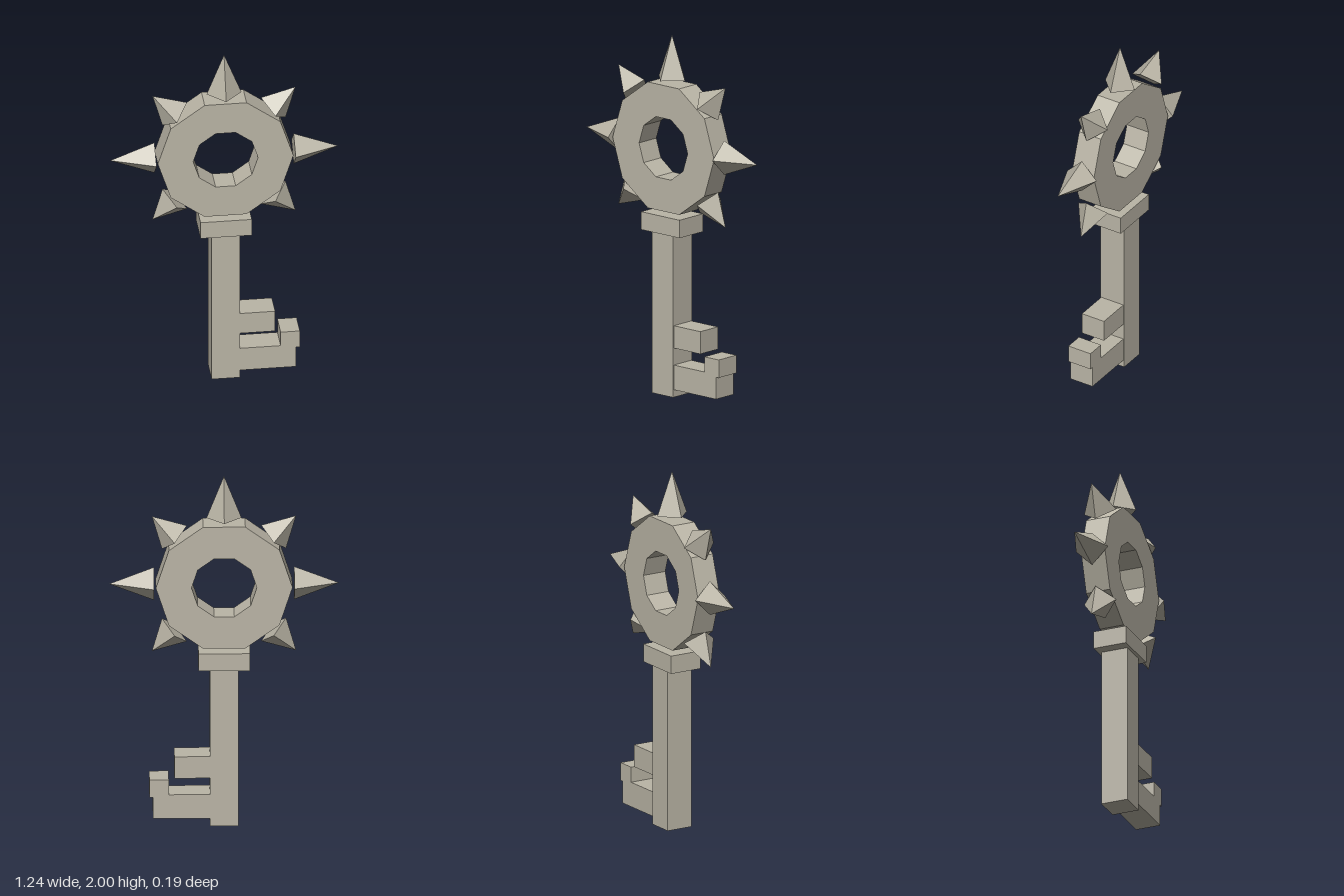
import * as THREE from 'three';

export function createModel() {
  const model = new THREE.Group();
  model.name = 'spikedKey';
  const stone = new THREE.MeshStandardMaterial({ color: 0xbab5a6 });
  stone.name = 'pale stone';

  const add = (name, geometry, parent = model) => {
    const mesh = new THREE.Mesh(geometry, stone);
    mesh.name = name;
    parent.add(mesh);
    return mesh;
  };
  // Box given by its x and y limits and its full depth
  const box = (name, x0, x1, y0, y1, depth) =>
    add(name, new THREE.BoxGeometry(x1 - x0, y1 - y0, depth))
      .position.set((x0 + x1) / 2, (y0 + y1) / 2, 0);

  // Shaft and collar
  box('shaft', -0.077, 0.077, 0, 0.91, 0.154);
  box('collar', -0.14, 0.14, 0.905, 1.005, 0.19);

  // Teeth of the bit
  box('upperTooth', 0.07, 0.27, 0.275, 0.4, 0.142);
  box('lowerTooth', 0.07, 0.385, 0.042, 0.18, 0.142);
  box('toothHook', 0.3, 0.405, 0.165, 0.265, 0.142);

  // Ten-sided ring handle
  const bow = new THREE.Group();
  bow.name = 'bow';
  bow.position.y = 1.378;
  model.add(bow);
  const decagon = (r) => Array.from({ length: 10 }, (_, i) => {
    const a = (i / 10) * Math.PI * 2;
    return new THREE.Vector2(r * Math.cos(a), r * Math.sin(a));
  });
  const outline = new THREE.Shape(decagon(0.37));
  outline.holes.push(new THREE.Path(decagon(0.177)));
  const ring = new THREE.ExtrudeGeometry(outline, { depth: 0.14, bevelEnabled: false });
  add('ring', ring.translate(0, 0, -0.07), bow);

  // Four-sided spikes around the ring; none where the collar sits
  for (let i = -3; i <= 4; i++) {
    if (i === 4) continue;
    const length = i % 2 ? 0.172 : 0.242;
    const cone = new THREE.ConeGeometry(0.095, length, 4).toNonIndexed();
    cone.computeVertexNormals();
    cone.translate(0, 0.38 + length / 2, 0);
    add('spike', cone, bow).rotation.z = (i * Math.PI) / 4;
  }
  return model;
}
